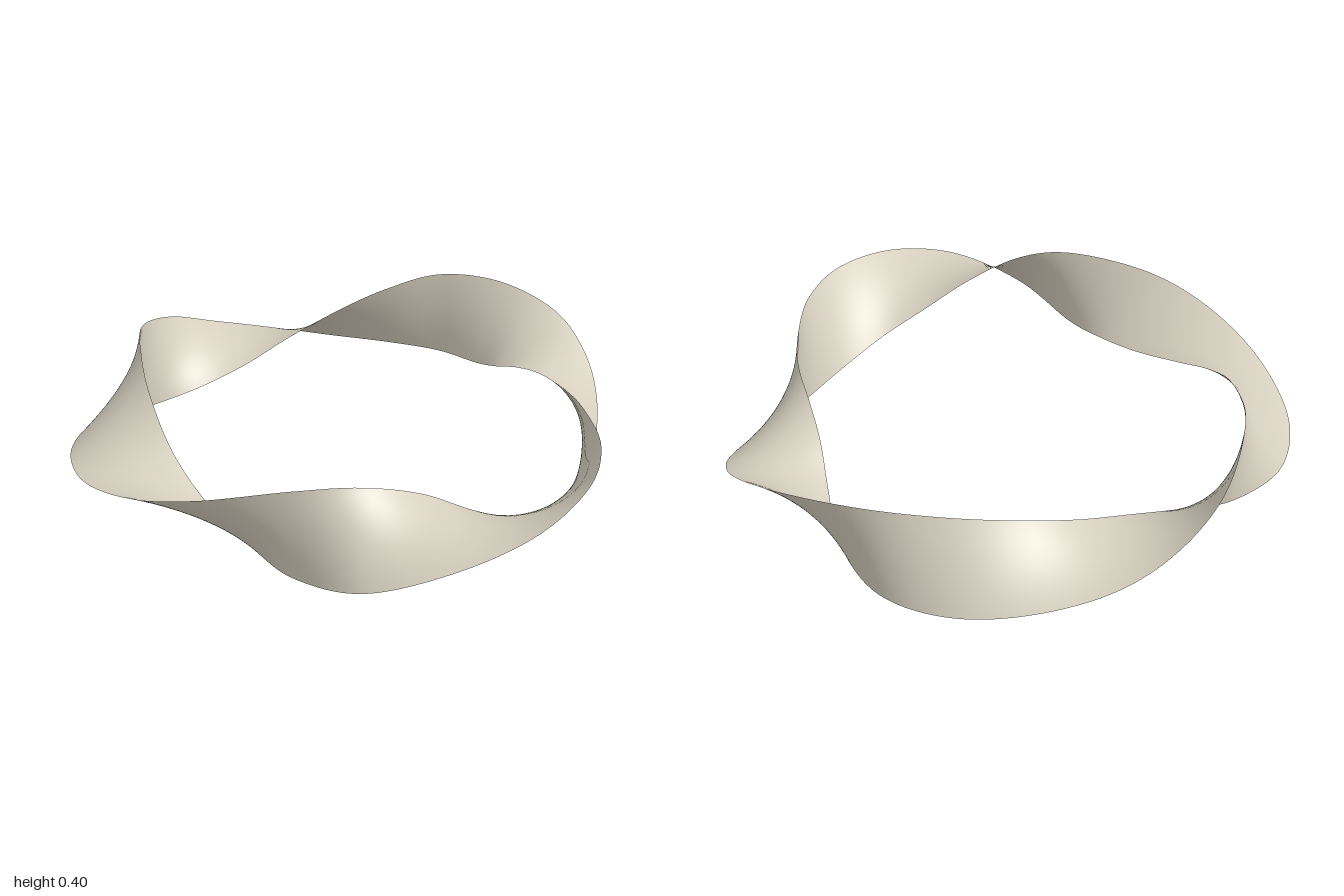
import * as THREE from 'three';

// Matching stations (x, y, z) along the two rims of the band
const RIM_A = [
  -0.61, 0.35, 0.49, -0.42, 0.34, 0.575, -0.22, 0.27, 0.62, -0.04, 0.165, 0.665, 0.14, 0.08, 0.685, 0.34, 0.02, 0.64,
  0.53, 0, 0.55, 0.73, 0.035, 0.42, 0.9, 0.12, 0.24, 0.985, 0.22, 0.06, 0.995, 0.31, -0.13, 0.9, 0.375, -0.35,
  0.73, 0.385, -0.53, 0.52, 0.335, -0.625, 0.31, 0.27, -0.675, 0.1, 0.2, -0.7, -0.1, 0.135, -0.703, -0.3, 0.085, -0.72,
  -0.5, 0.055, -0.745, -0.73, 0.08, -0.71, -0.91, 0.11, -0.52, -0.995, 0.165, -0.22, -0.965, 0.235, 0.07, -0.84, 0.3, 0.3,
];
const RIM_B = [
  -0.61, 0.03, 0.49, -0.53, 0.1, 0.75, -0.33, 0.2, 0.93, -0.07, 0.265, 0.99, 0.2, 0.3, 0.92, 0.4, 0.305, 0.76,
  0.53, 0.295, 0.55, 0.595, 0.285, 0.38, 0.63, 0.265, 0.2, 0.66, 0.215, 0.04, 0.705, 0.14, -0.12, 0.75, 0.07, -0.3,
  0.73, 0.04, -0.53, 0.6, 0.04, -0.72, 0.4, 0.07, -0.865, 0.15, 0.135, -0.97, -0.08, 0.215, -0.985, -0.3, 0.315, -0.92,
  -0.5, 0.395, -0.745, -0.595, 0.385, -0.56, -0.655, 0.31, -0.38, -0.687, 0.19, -0.15, -0.675, 0.09, 0.1, -0.645, 0.045, 0.3,
];

// Smooth closed curve through a flat list of coordinates
function rimCurve(list) {
  const points = [];
  for (let i = 0; i < list.length; i += 3) points.push(new THREE.Vector3().fromArray(list, i));
  return new THREE.CatmullRomCurve3(points, true, 'catmullrom', 0.5);
}

// Straight rulings between two closed curves, joined around the loop
function ruledBand(curveA, curveB, around, across) {
  const positions = [];
  const indices = [];
  const row = across + 1;
  const p = new THREE.Vector3();
  for (let i = 0; i < around; i++) {
    const a = curveA.getPoint(i / around);
    const b = curveB.getPoint(i / around);
    for (let j = 0; j <= across; j++) {
      p.lerpVectors(a, b, j / across);
      positions.push(p.x, p.y, p.z);
    }
    const next = (i + 1) % around;
    for (let j = 0; j < across; j++) {
      const q = i * row + j;
      const r = next * row + j;
      indices.push(q, q + 1, r, q + 1, r + 1, r);
    }
  }
  const geometry = new THREE.BufferGeometry();
  geometry.setAttribute('position', new THREE.Float32BufferAttribute(positions, 3));
  geometry.setIndex(indices);
  geometry.computeVertexNormals();
  return geometry;
}

export function createModel() {
  const group = new THREE.Group();
  group.name = 'twistedRing';

  const ivory = new THREE.MeshStandardMaterial({ color: 0xd6cfbf, side: THREE.DoubleSide });
  ivory.name = 'ivory';

  // One ribbon making two full twists around the ring
  const band = new THREE.Mesh(ruledBand(rimCurve(RIM_A), rimCurve(RIM_B), 288, 14), ivory);
  band.name = 'twistedBand';
  group.add(band);

  return group;
}
